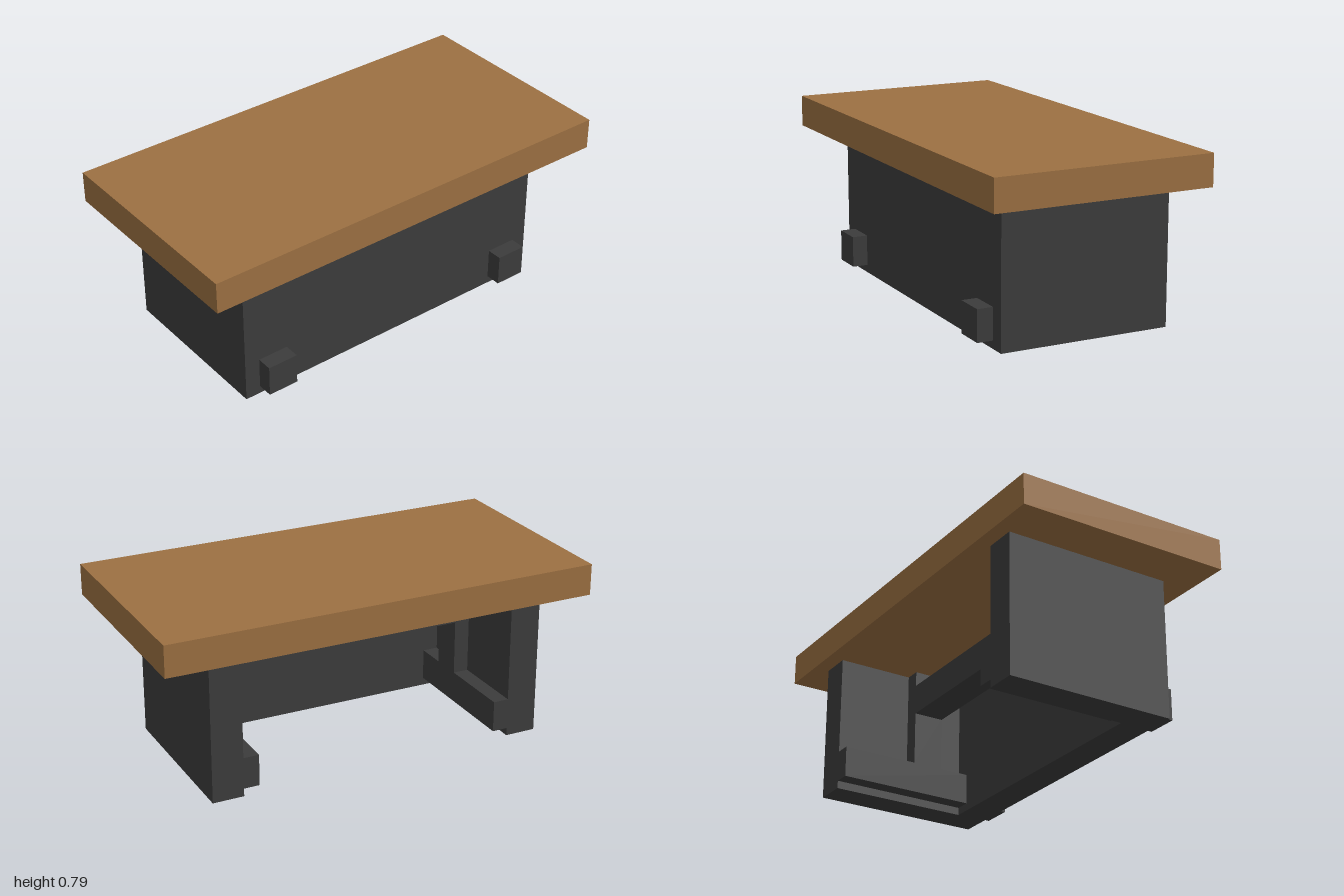
import * as THREE from 'three';

const U = 1 / 14; // modelling unit: everything sits on this step

export function createModel() {
  const model = new THREE.Group();
  model.name = 'desk';

  const wood = new THREE.MeshStandardMaterial({ color: 0x9c7042 });
  wood.name = 'brown wood';
  const dark = new THREE.MeshStandardMaterial({ color: 0x3c3c3c });
  dark.name = 'dark grey';

  const add = (name, geometry, material) => {
    geometry.scale(U, U, U);
    const mesh = new THREE.Mesh(geometry, material);
    mesh.name = name;
    model.add(mesh);
  };

  // Box given by its limits on each axis
  const box = (name, material, [x0, x1], [y0, y1], [z0, z1]) => {
    const g = new THREE.BoxGeometry(x1 - x0, y1 - y0, z1 - z0);
    g.translate((x0 + x1) / 2, (y0 + y1) / 2, (z0 + z1) / 2);
    add(name, g, material);
  };

  // Straight extrusion of a polygon
  const prism = (points, depth) => new THREE.ExtrudeGeometry(
    new THREE.Shape(points.map(([x, y]) => new THREE.Vector2(x, y))),
    { depth, bevelEnabled: false });

  // Desk top
  box('deskTop', wood, [-14, 14], [9, 11], [-7, 7]);

  // U-shaped shell: front panel and two sides, open at the back
  const shell = prism([
    [-11, -5], [11, -5], [11, 6], [9, 6], [9, -3], [-9, -3], [-9, 6], [-11, 6],
  ], 9);
  shell.rotateX(-Math.PI / 2);
  add('shell', shell, dark);

  // Inner frame: two posts joined by a cross beam just below the top
  const frame = prism([
    [-9, 2.5], [-8, 2.5], [-8, 6], [8, 6], [8, 2.5], [9, 2.5],
    [9, 9], [8, 9], [8, 8], [-8, 8], [-8, 9], [-9, 9],
  ], 2);
  frame.translate(0, 0, -1);
  add('innerFrame', frame, dark);

  // Inner rails and front blocks, mirrored left and right
  for (const [side, s] of [['left', 1], ['right', -1]]) {
    const span = (a, b) => (s > 0 ? [a, b] : [-b, -a]);
    box(side + 'Rail', dark, span(8, 9), [0.5, 2.5], [-6, 3]);
    box(side + 'FrontBlock', dark, span(8, 10), [0.5, 2.5], [5, 6]);
  }

  return model;
}
